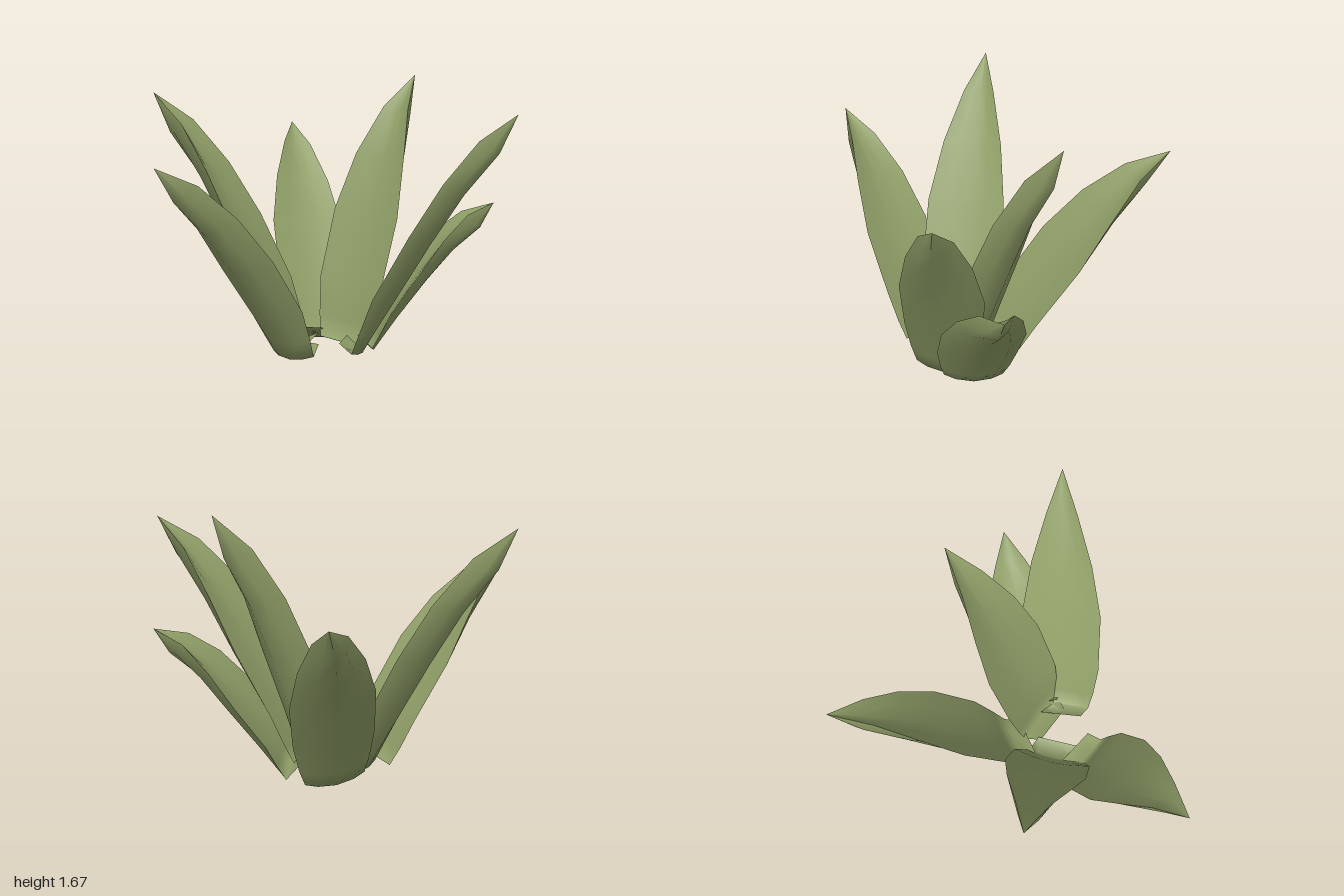
import * as THREE from 'three';

// Leaf rows from root to tip: [fraction of length, inward bow, half width, keel depth]
const ROWS = [
  [0, 0.09, 0.13, 0],
  [0, -0.01, 0.18, 0.045],
  [0.08, 0.02, 0.21, 0.065],
  [0.21, 0.07, 0.24, 0.105],
  [0.46, 0.105, 0.245, 0.12],
  [0.67, 0.12, 0.185, 0.13],
  [0.855, 0.095, 0.095, 0.135],
  [1, 0, 0, 0],
];
// Cross-section across the leaf: [position, share of the keel depth]
const INNER = [[-1, 0], [-0.5, 0.2], [0, 0.3], [0.5, 0.2], [1, 0]];
const OUTER = [[-1, 0], [-0.6, 0.66], [0, 1], [0.6, 0.66], [1, 0]];

// Root point, tip point and roll about its own length for each leaf
const LEAVES = [
  ['leftLeaf', [-0.12, 0.05, -0.06], [-1, 1.255, -0.34], 0.18],
  ['backLeaf', [0.03, 0.05, -0.13], [-0.35, 1.59, -0.97], -0.08],
  ['backRightLeaf', [0.3, 0.05, -0.19], [1, 1.29, -0.96], 0.25],
  ['rightLeaf', [0.24, 0.05, 0.03], [0.91, 1.67, 0.11], 0.08],
  ['frontLeaf', [0.19, 0.05, 0.17], [0.7, 1.49, 0.97], -0.15],
  ['lowLeaf', [0.37, 0.04, 0.13], [0.95, 0.9, 0.68], -0.08],
];

// Closed leaf: a shallow inner face and a keeled outer face meeting at sharp rims
function leafGeometry(root, tip, roll) {
  const base = new THREE.Vector3(...root);
  const along = new THREE.Vector3(...tip).sub(base);
  const length = along.length();
  along.normalize();
  const across = along.clone().cross(new THREE.Vector3(0, 1, 0)).normalize();
  const bowDir = across.clone().cross(along).normalize();
  across.applyAxisAngle(along, roll);
  const inward = bowDir.clone().applyAxisAngle(along, roll);
  const positions = [];
  const index = [];

  [INNER, OUTER].forEach((section, face) => {
    const start = positions.length / 3;
    const n = section.length;
    for (const [t, bow, half, depth] of ROWS) {
      for (const [u, share] of section) {
        const p = base.clone()
          .addScaledVector(along, t * length)
          .addScaledVector(bowDir, bow)
          .addScaledVector(inward, -depth * share)
          .addScaledVector(across, u * half);
        positions.push(p.x, p.y, p.z);
      }
    }
    const tri = (a, b, c) => (face === 0 ? index.push(a, b, c) : index.push(a, c, b));
    for (let r = 0; r < ROWS.length - 1; r++) {
      for (let i = 0; i < n - 1; i++) {
        const a = start + r * n + i;
        tri(a, a + 1, a + n);
        if (r < ROWS.length - 2) tri(a + 1, a + n + 1, a + n);
      }
    }
  });

  const geometry = new THREE.BufferGeometry();
  geometry.setAttribute('position', new THREE.Float32BufferAttribute(positions, 3));
  geometry.setIndex(index);
  geometry.computeVertexNormals();
  return geometry;
}

export function createModel() {
  const group = new THREE.Group();
  group.name = 'succulentPlant';
  const leafGreen = new THREE.MeshStandardMaterial({ color: 0x8f9e67, side: THREE.DoubleSide });
  leafGreen.name = 'leaf green';
  for (const [name, root, tip, roll] of LEAVES) {
    const leaf = new THREE.Mesh(leafGeometry(root, tip, roll), leafGreen);
    leaf.name = name;
    group.add(leaf);
  }
  return group;
}
